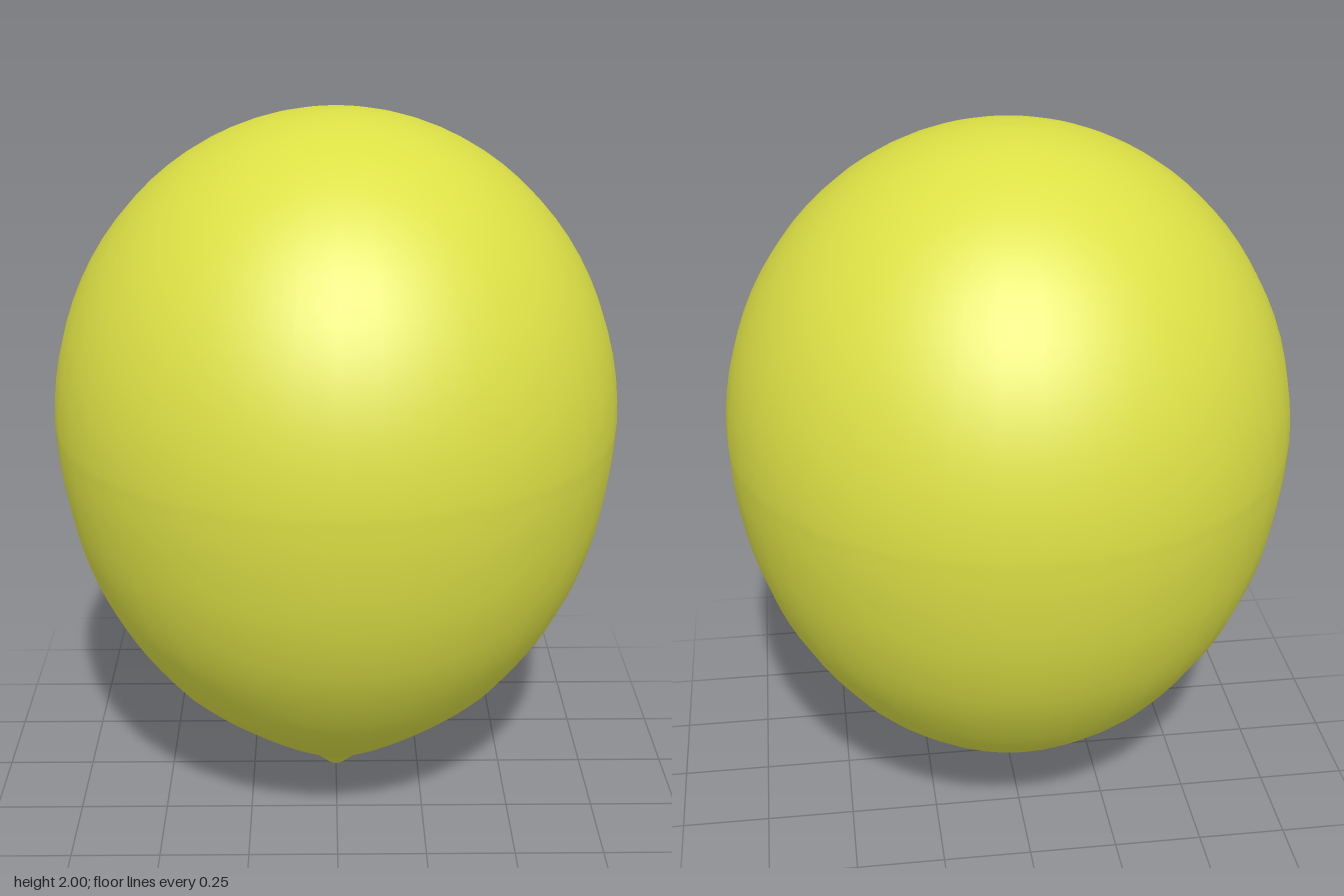
import * as THREE from 'three';

export function createModel() {
  const group = new THREE.Group();
  group.name = 'balloon';

  // Half outline, from the small rounded tip up to the widest ring
  const lower = new THREE.SplineCurve([
    [0, 0], [0.022, 0.006], [0.05, 0.03], [0.09, 0.066], [0.2, 0.137], [0.29, 0.2], [0.42, 0.302],
    [0.53, 0.41], [0.657, 0.6], [0.737, 0.8], [0.778, 1.0], [0.79, 1.15],
  ].map(([x, y]) => new THREE.Vector2(x, y)));
  const profile = lower.getPoints(44);

  // Elliptical dome above the widest ring
  const domeSteps = 20;
  for (let i = 1; i <= domeSteps; i++) {
    const a = (i / domeSteps) * Math.PI / 2;
    profile.push(new THREE.Vector2(i === domeSteps ? 0 : 0.79 * Math.cos(a), 1.15 + 0.85 * Math.sin(a)));
  }

  // Smooth turned body
  const body = new THREE.Mesh(
    new THREE.LatheGeometry(profile, 40),
    new THREE.MeshStandardMaterial({ color: 0xdce045 }),
  );
  body.name = 'balloonBody';
  group.add(body);
  return group;
}
